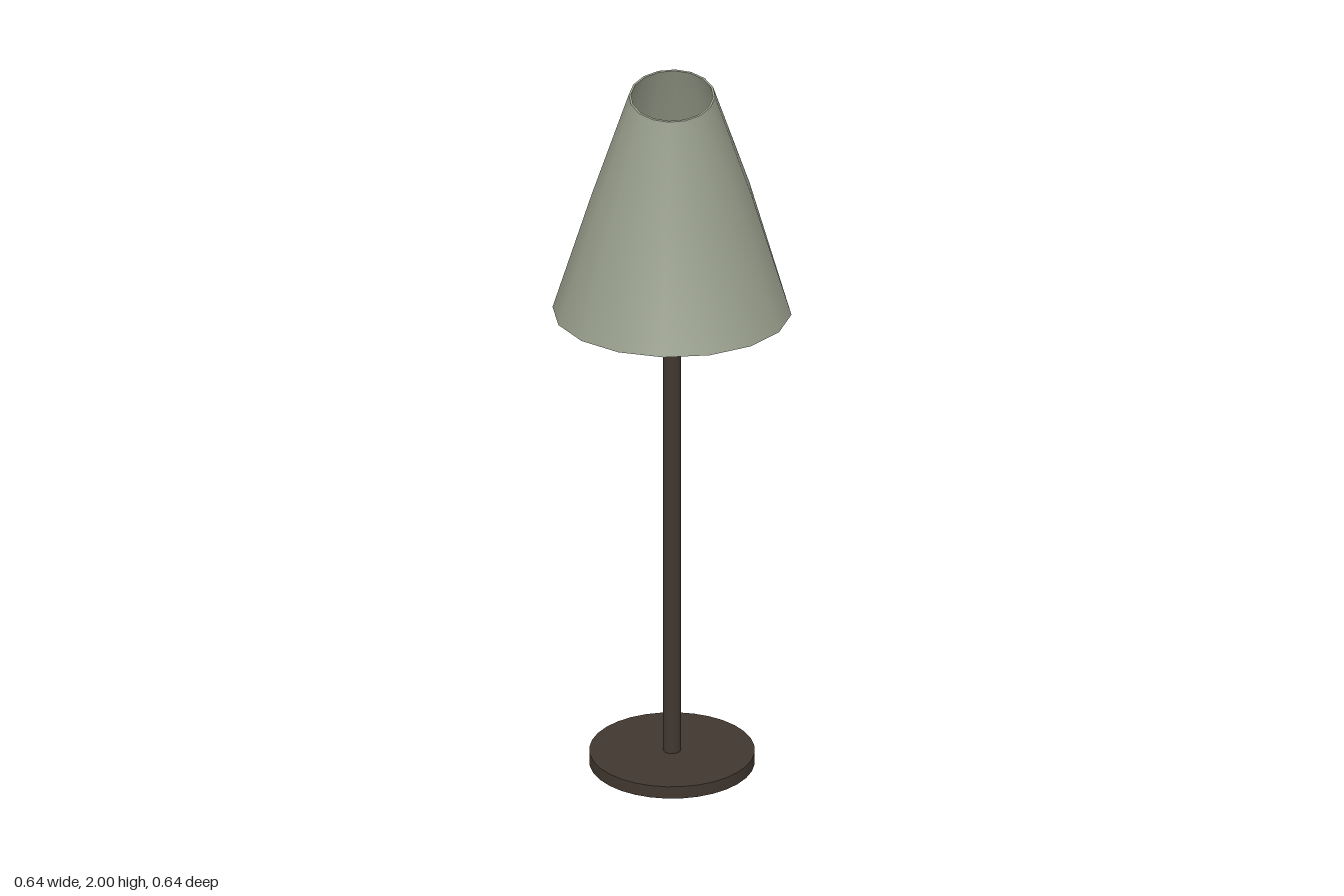
import * as THREE from 'three';
import { toCreasedNormals } from 'three/addons/utils/BufferGeometryUtils.js';

const material = (name, color, side = THREE.FrontSide) => {
  const m = new THREE.MeshStandardMaterial({ color, side });
  m.name = name;
  return m;
};

const lathe = (points, sides) =>
  new THREE.LatheGeometry(points.map(([r, y]) => new THREE.Vector2(r, y)), sides);

export function createModel() {
  const model = new THREE.Group();
  model.name = 'tableLamp';
  const bronze = material('dark bronze', 0x41372f);
  const sage = material('sage shade', 0x969c8a, THREE.DoubleSide);
  const blue = material('blue metal', 0x2c5f85);
  const white = material('white glass', 0xeeeeee);

  const add = (name, geometry, mat, y = 0, parent = model) => {
    const mesh = new THREE.Mesh(geometry, mat);
    mesh.name = name;
    mesh.position.y = y;
    parent.add(mesh);
    return mesh;
  };

  // Foot and pole
  add('base', new THREE.CylinderGeometry(0.22, 0.22, 0.035, 32), bronze, 0.0175);
  add('pole', new THREE.CylinderGeometry(0.024, 0.024, 1.32, 16), bronze, 0.69);

  // Socket hub and bulb
  add('hub', new THREE.CylinderGeometry(0.063, 0.063, 0.085, 16), blue, 1.3565);
  const bulb = add('bulb', new THREE.SphereGeometry(0.07, 10, 10), white, 1.45);

  // Tilted carrier ring with four spokes
  const carrier = new THREE.Group();
  carrier.name = 'shadeCarrier';
  carrier.position.y = 1.34;
  carrier.rotation.x = -0.067;
  model.add(carrier);
  const ringProfile = [[0.28, 0], [0.311, 0], [0.298, 0.035], [0.28, 0.035], [0.28, 0]];
  add('ring', toCreasedNormals(lathe(ringProfile, 16), 0.6), blue, 0, carrier);
  for (let i = 0; i < 4; i++) {
    const bar = new THREE.BoxGeometry(0.24, 0.018, 0.014).translate(0.17, 0, 0);
    add('spoke', bar, blue, 0.018, carrier).rotation.y = Math.PI / 16 + (i * Math.PI) / 2;
  }

  // Shade: three rings (levels 0 to 2), each with its own height, tilt and shift
  const levels = [
    { y: 1.34, tilt: 0.067, z: 0 },
    { y: 1.668, tilt: -0.14, z: -0.014 },
    { y: 1.979, tilt: -0.18, z: 0 },
  ];
  const shadeProfile = [
    [0.318, 0], [0.216, 1], [0.115, 2], [0.109, 2], [0.21, 1], [0.312, 0], [0.318, 0],
  ];
  const shade = lathe(shadeProfile, 16);
  const p = shade.attributes.position;
  for (let i = 0; i < p.count; i++) {
    const level = levels[Math.round(p.getY(i))];
    const z = p.getZ(i);
    p.setY(i, level.y + level.tilt * z);
    p.setZ(i, z + level.z);
  }
  add('shade', toCreasedNormals(shade, 0.8), sage);

  return model;
}
